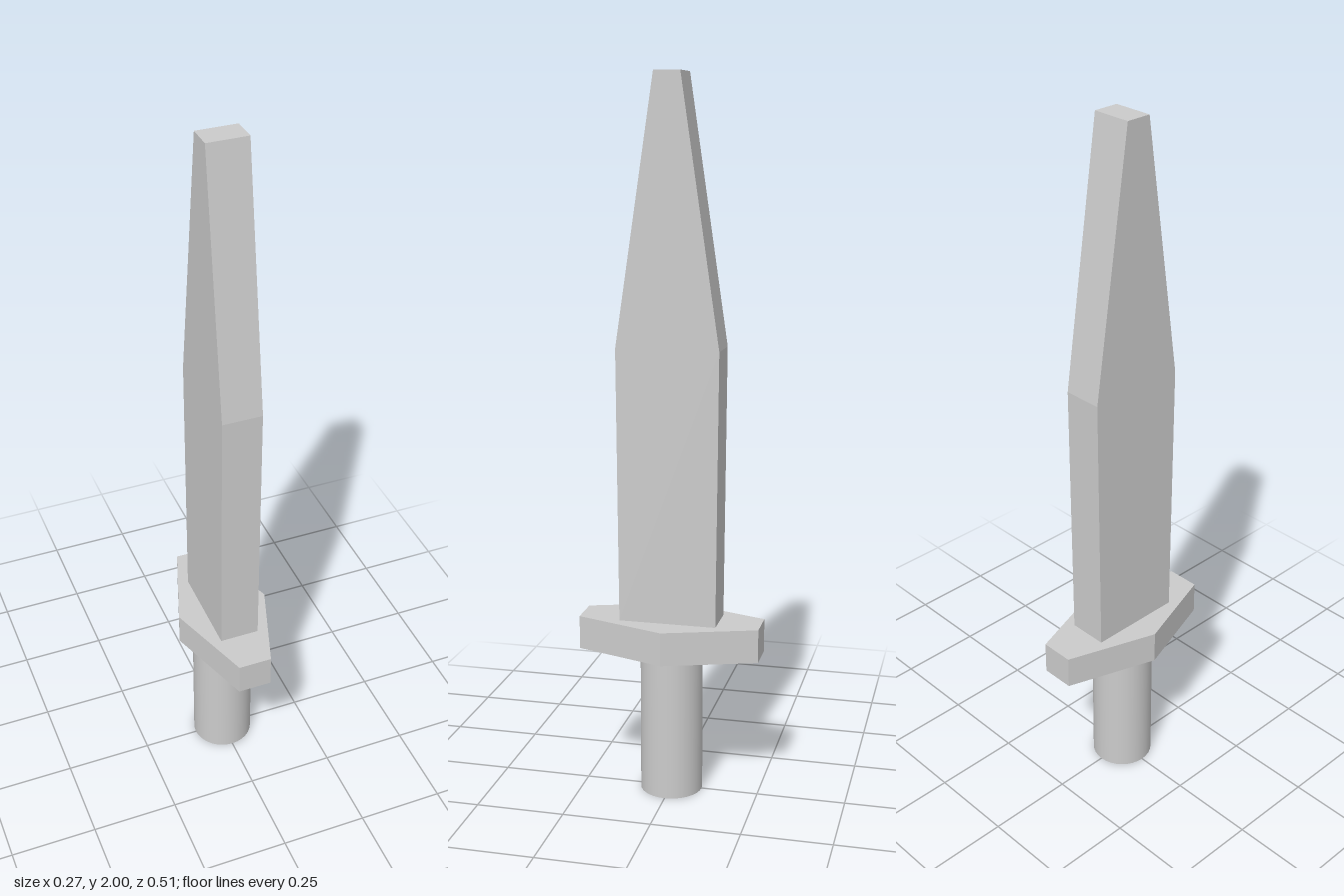
import * as THREE from 'three';

const GUARD_BOTTOM = 0.413, GUARD_TOP = 0.508;

// Centred straight-edged slab from outline points
function slab(points, depth) {
  const shape = new THREE.Shape(points.map(([x, y]) => new THREE.Vector2(x, y)));
  return new THREE.ExtrudeGeometry(shape, { depth, bevelEnabled: false }).translate(0, 0, -depth / 2);
}

export function createModel() {
  const group = new THREE.Group();
  const smooth = new THREE.MeshStandardMaterial({ color: 0xcccccc });
  const flat = new THREE.MeshStandardMaterial({ color: 0xcccccc, flatShading: true });
  const add = (name, geometry, material) => {
    const mesh = new THREE.Mesh(geometry, material);
    mesh.name = name;
    group.add(mesh);
  };

  // Round grip
  add('handle', new THREE.CylinderGeometry(0.088, 0.088, GUARD_BOTTOM, 32).translate(0, GUARD_BOTTOM / 2, 0), smooth);

  // Six-sided crossguard, long along z and pointed along x
  const guard = slab([[0.135, 0], [0.048, 0.256], [-0.048, 0.256], [-0.135, 0], [-0.048, -0.256], [0.048, -0.256]],
    GUARD_TOP - GUARD_BOTTOM);
  guard.rotateX(Math.PI / 2).translate(0, (GUARD_BOTTOM + GUARD_TOP) / 2, 0);
  add('guard', guard, flat);

  // Blade: half outline (z, y), mirrored, widening slightly and then tapering to a blunt tip
  const half = [[0.137, GUARD_TOP], [0.143, 1.275], [0.036, 2]];
  const outline = [...half, ...half.map(([z, y]) => [-z, y]).reverse()];
  add('blade', slab(outline, 0.113).rotateY(-Math.PI / 2), flat);

  return group;
}
